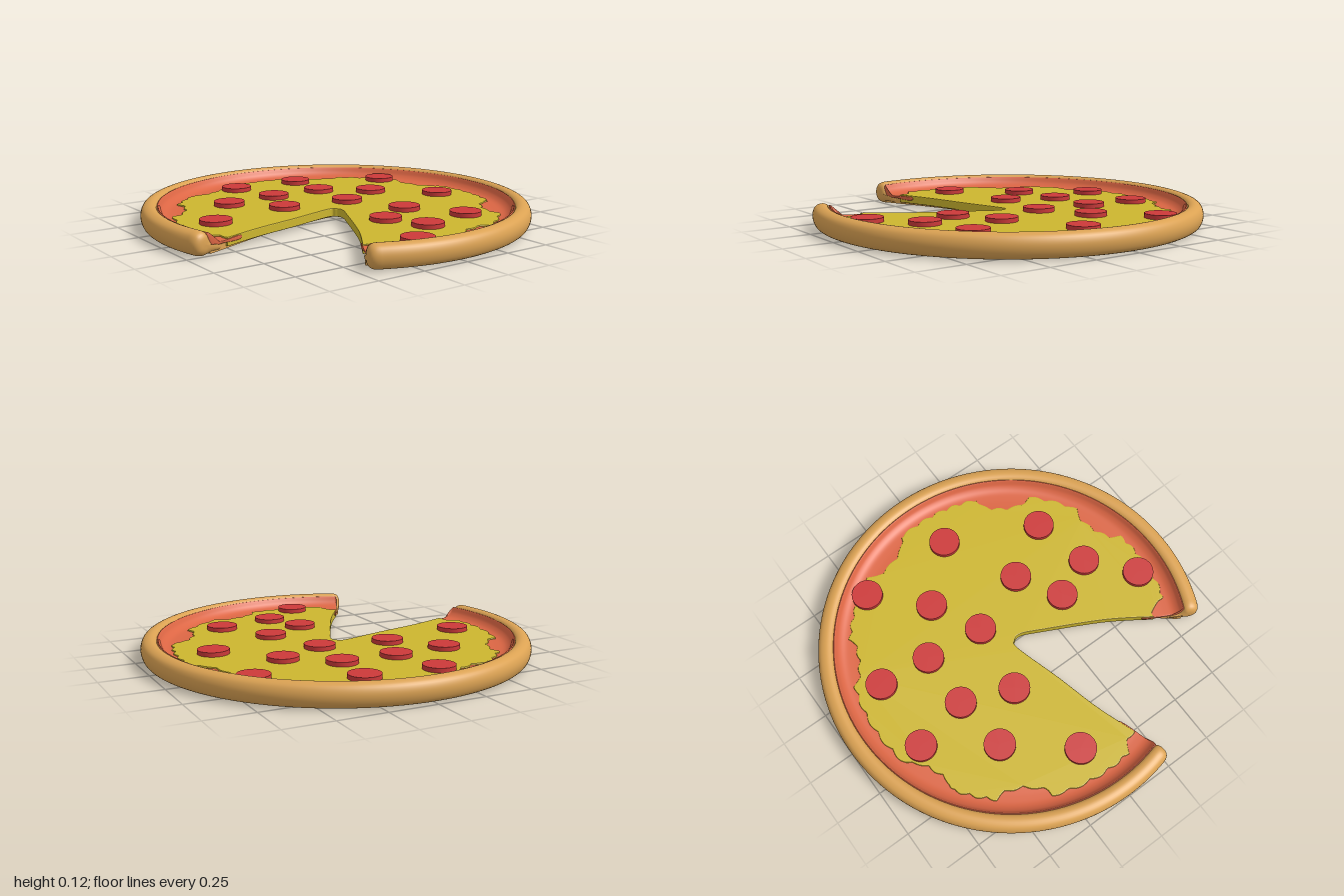
import * as THREE from 'three';

const TAU = Math.PI * 2;
const START = 1.29, END = TAU + 0.485; // the ring runs from one cut to the other

const material = (color, extra = {}) => new THREE.MeshStandardMaterial({ color, roughness: 0.8, ...extra });
const crustMat = material(0xdba253);
const sauceMat = material(0xdc6644);
const cheeseMat = material(0xcdb62f);
const pepperoniMat = material(0xcc3939);

function addMesh(group, name, geometry, mat) {
  const mesh = new THREE.Mesh(geometry, mat);
  mesh.name = name;
  group.add(mesh);
  return mesh;
}

// Sweeps a closed (radius, height) profile around the pizza, with rounded ends
function sweepRing(points, center, from, to, cap) {
  const curve = new THREE.CatmullRomCurve3(points.map(([r, y]) => new THREE.Vector3(r, y, 0)), true, 'centripetal');
  const profile = curve.getPoints(48).slice(0, -1);
  const sections = [];
  const steps = 10, around = 160;
  for (let i = 0; i <= steps; i++) {
    const u = Math.cos((i / steps) * Math.PI / 2);
    sections.push([from + cap * (1 - u), Math.pow(Math.max(0, 1 - u ** 3), 1 / 3)]);
  }
  for (let i = 1; i < around; i++) sections.push([from + cap + (to - from - 2 * cap) * i / around, 1]);
  for (let i = steps; i >= 0; i--) sections.push([from + to - sections[i][0], sections[i][1]]);

  const position = [], index = [], n = profile.length;
  sections.forEach(([angle, s], i) => {
    profile.forEach((p, j) => {
      const r = center[0] + (p.x - center[0]) * s;
      const y = center[1] + (p.y - center[1]) * s;
      position.push(r * Math.cos(angle), y, r * Math.sin(angle));
      if (i === sections.length - 1) return;
      const a = i * n + j, b = i * n + (j + 1) % n;
      index.push(a, b, a + n, b, b + n, a + n);
    });
  });
  const geometry = new THREE.BufferGeometry();
  geometry.setAttribute('position', new THREE.Float32BufferAttribute(position, 3));
  geometry.setIndex(index);
  geometry.computeVertexNormals();
  return geometry;
}

// Curved outline of the missing slice, widened near the tip by "grow"
function notchPoints(grow) {
  const right = [[0.9, 0.475], [0.8, 0.425], [0.67, 0.335], [0.46, 0.2], [0.165, 0.05]];
  const tip = [[0.06, 0.002], [0.015, 0.012], [0.003, 0.06]];
  const left = [[0.075, 0.31], [0.14, 0.56], [0.235, 0.83], [0.275, 0.95]];
  const shift = (list, dx, dy) => list.map(([x, y]) => {
    const k = grow * Math.max(0, 1 - Math.hypot(x, y));
    return new THREE.Vector2(x + dx * k, y + dy * k);
  });
  const all = [...shift(right, 0.5, -0.87), ...shift(tip, -0.63, -0.78), ...shift(left, -0.97, 0.25)];
  return new THREE.SplineCurve(all).getPoints(90);
}

// Flat layer with the slice cut away; its rim follows radiusAt(angle)
function layer(radiusAt, grow, bottom, top, bevel) {
  const cut = notchPoints(grow).filter(p => p.length() < radiusAt(Math.atan2(p.y, p.x)) - 0.004);
  const last = cut[cut.length - 1];
  const a0 = Math.atan2(last.y, last.x);
  const a1 = Math.atan2(cut[0].y, cut[0].x) + TAU;
  const outline = [];
  for (let i = 0; i <= 420; i++) {
    const a = a0 + (a1 - a0) * i / 420, r = radiusAt(a);
    outline.push(new THREE.Vector2(r * Math.cos(a), r * Math.sin(a)));
  }
  const geometry = new THREE.ExtrudeGeometry(new THREE.Shape([...outline, ...cut]), {
    depth: top - bottom - 2 * bevel, bevelEnabled: bevel > 0,
    bevelSize: bevel, bevelThickness: bevel, bevelOffset: -bevel, bevelSegments: 2,
  });
  geometry.rotateX(Math.PI / 2);
  geometry.translate(0, top - bevel, 0);
  return geometry;
}

// Scalloped cheese rim with bays where the sauce shows: [x, z, depth, half angle]
const bays = [
  [-0.25, -0.74, 0.065, 0.17], [0.42, -0.65, 0.075, 0.17], [0.74, -0.25, 0.06, 0.16], [-0.72, -0.38, 0.045, 0.15],
  [-0.74, 0.33, 0.05, 0.15], [-0.42, 0.68, 0.06, 0.16], [0.2, 0.8, 0.05, 0.1], [0.73, 0.36, 0.08, 0.11],
];
function cheeseRadius(angle) {
  let r = 0.832 + 0.016 * Math.abs(Math.sin(angle * 27 + Math.sin(angle * 5)));
  for (const [x, z, depth, half] of bays) {
    const d = angle - Math.atan2(z, x);
    const t = Math.atan2(Math.sin(d), Math.cos(d)) / half;
    if (Math.abs(t) < 1) r -= depth * Math.sqrt(1 - t * t);
  }
  return r;
}

export function createModel() {
  const pizza = new THREE.Group();
  pizza.name = 'pizza';

  // Rolled crust, with a thin lip running in under the sauce
  addMesh(pizza, 'crust', sweepRing([
    [0.82, 0.014], [0.9, 0.006], [0.95, 0], [0.985, 0.014], [1, 0.045], [1, 0.078], [0.985, 0.107],
    [0.953, 0.12], [0.925, 0.112], [0.906, 0.08], [0.88, 0.045], [0.82, 0.035],
  ], [0.945, 0.06], START, END, 0.06), crustMat);

  // Flat dough underneath
  addMesh(pizza, 'doughBase', layer(() => 0.91, 0.06, 0.008, 0.04, 0), crustMat);

  // Sauce climbing the inside of the crust
  addMesh(pizza, 'sauce', sweepRing([
    [0.7, 0.04], [0.82, 0.04], [0.9, 0.045], [0.922, 0.095], [0.915, 0.109],
    [0.897, 0.08], [0.87, 0.061], [0.82, 0.055], [0.7, 0.053],
  ], [0.85, 0.052], START + 0.005, END - 0.015, 0.015), sauceMat);

  // Cheese, hanging over the cut edges
  addMesh(pizza, 'cheese', layer(cheeseRadius, 0, 0.018, 0.063, 0.005), cheeseMat);

  // Pepperoni slices
  const spots = [
    [-0.465, -0.65], [0.04, -0.66], [-0.225, -0.4], [0.51, -0.44], [0.23, -0.27], [-0.68, -0.195],
    [-0.405, -0.17], [-0.095, -0.14], [0.365, -0.04], [0.58, -0.13], [0.77, 0.095], [-0.7, 0.19],
    [-0.41, 0.125], [-0.145, 0.225], [-0.38, 0.42], [-0.065, 0.675],
  ];
  const slice = new THREE.CylinderGeometry(0.081, 0.081, 0.035, 40);
  const pepperoni = new THREE.Group();
  pepperoni.name = 'pepperoni';
  for (const [x, z] of spots) addMesh(pepperoni, 'pepperoniSlice', slice, pepperoniMat).position.set(x, 0.068, z);
  pizza.add(pepperoni);

  return pizza;
}
